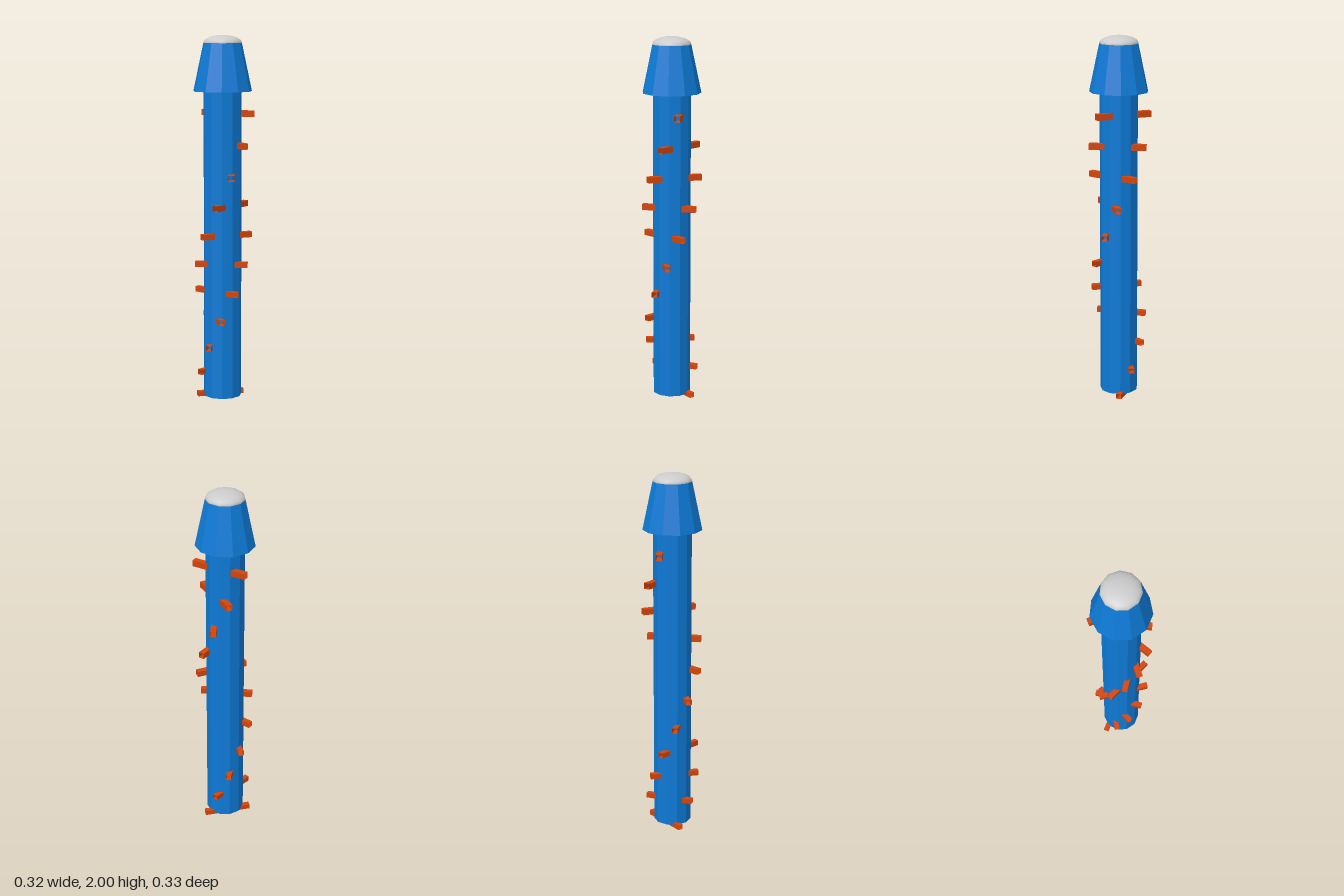
import * as THREE from 'three';

const SIDES = 11;
const mat = (color, flat = true, side = THREE.FrontSide) =>
  new THREE.MeshStandardMaterial({ color, flatShading: flat, side });

export function createModel() {
  const model = new THREE.Group();
  const blue = mat(0x0e7ad6);
  const green = mat(0x1a6b0f);
  const grey = mat(0xcccccc, false);
  const orange = mat(0xd2450c, true, THREE.DoubleSide);

  const add = (name, geometry, material, y, parent = model) => {
    const mesh = new THREE.Mesh(geometry, material);
    mesh.name = name;
    mesh.position.y = y;
    parent.add(mesh);
    return mesh;
  };

  // Blue eleven-sided walls, each with a green underside; one corner points back
  const column = (name, rTop, rBottom, y0, y1) => {
    const geometry = new THREE.CylinderGeometry(rTop, rBottom, y1 - y0, SIDES).rotateY(Math.PI);
    add(name, geometry, [blue, blue, green], (y0 + y1) / 2);
  };
  column('shaft', 0.104, 0.104, 0.015, 1.7);
  column('flaredHead', 0.105, 0.16, 1.7, 1.957);

  // Low smooth dome on the head
  const dome = new THREE.SphereGeometry(0.105, SIDES, 8, 0, Math.PI * 2, 0, Math.PI / 2)
    .rotateY(-Math.PI / 2).scale(1, 0.043 / 0.105, 1);
  add('dome', dome, grey, 1.957);

  // Off-centre rungs: open square tubes that turn, rise and grow step by step
  const size = 0.028;
  const tube = new THREE.CylinderGeometry(size / Math.SQRT2, size / Math.SQRT2, 0.262, 4, 1, true)
    .rotateY(Math.PI / 4).rotateZ(Math.PI / 2).translate(0, 0, -0.047);
  const rungs = new THREE.Group();
  rungs.name = 'rungs';
  model.add(rungs);
  const growth = 1.0185;
  let y = size / 2, scale = 1;
  for (let i = 0; i < 11; i++) {
    const rung = add('rung' + (i + 1), tube, orange, y, rungs);
    rung.rotation.y = i * 0.55;
    rung.scale.setScalar(scale);
    y += 0.144 * scale;
    scale *= growth;
  }
  return model;
}
